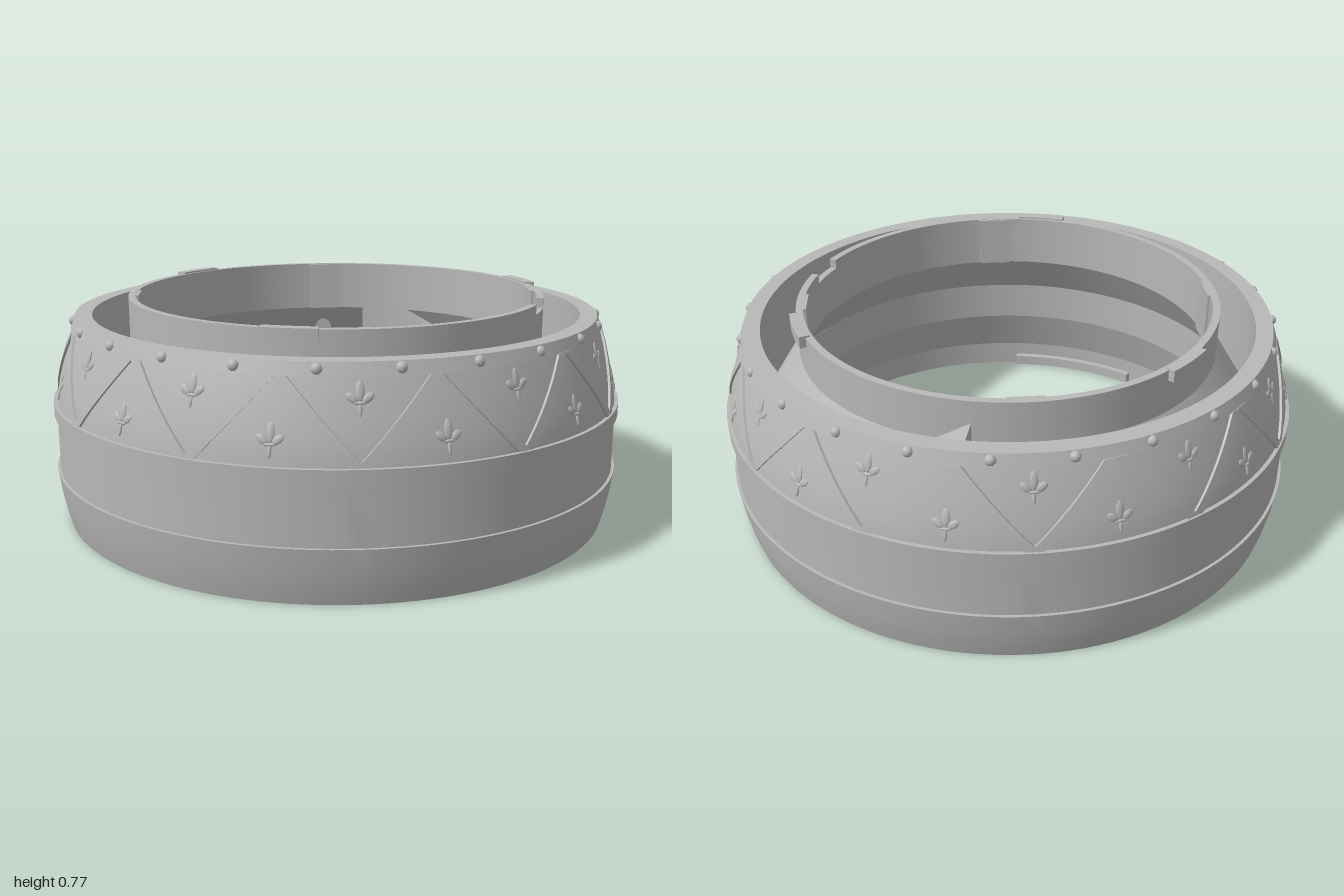
import * as THREE from 'three';
import { toCreasedNormals } from 'three/addons/utils/BufferGeometryUtils.js';

const metal = new THREE.MeshStandardMaterial({ color: 0xb8b8b8, side: THREE.DoubleSide });
metal.name = 'grey metal';
const RAD = Math.PI / 180;

// Point at an angle measured from the front (+z) towards +x
const polar = (deg, r, y) => [r * Math.sin(deg * RAD), y, r * Math.cos(deg * RAD)];

function mesh(name, geometry) {
  const m = new THREE.Mesh(geometry, metal);
  m.name = name;
  return m;
}

function fromGrid(pos, index) {
  const g = new THREE.BufferGeometry();
  g.setAttribute('position', new THREE.Float32BufferAttribute(pos, 3));
  g.setIndex(index);
  return toCreasedNormals(g, 0.4);
}

function lathe(name, pts, from = 0, to = 360) {
  const g = new THREE.LatheGeometry(pts.map(p => new THREE.Vector2(p[0], p[1])),
    Math.max(6, Math.round((to - from) / 2.5)), from * RAD, (to - from) * RAD);
  return mesh(name, toCreasedNormals(g, 0.25));
}

// Joins closed cross-sections of four corners and caps both ends
function sweep(name, sections) {
  const pos = sections.flat(2), index = [], last = (sections.length - 1) * 4;
  for (let i = 0; i < last; i += 4) {
    for (let k = 0; k < 4; k++) {
      const a = i + k, b = i + (k + 1) % 4;
      index.push(a, b, a + 4, b, b + 4, a + 4);
    }
  }
  index.push(0, 2, 1, 0, 3, 2, last, last + 1, last + 2, last, last + 2, last + 3);
  return mesh(name, fromGrid(pos, index));
}

// Curved block between two radii; the top may slope to another height
function arcBlock(name, r0, r1, y0, y1, from, to, yEnd = y1) {
  const n = Math.max(3, Math.ceil(Math.abs(to - from) / 2.5)), sections = [];
  for (let i = 0; i <= n; i++) {
    const a = from + (to - from) * i / n, top = y1 + (yEnd - y1) * i / n;
    sections.push([polar(a, r0, y0), polar(a, r1, y0), polar(a, r1, top), polar(a, r0, top)]);
  }
  return sweep(name, sections);
}

// Radius of the raised surface of the decorated upper band
const bandRadius = y => 0.993 - 0.067 * Math.pow(Math.max(0, (y - 0.425) / 0.25), 1.3);
// Height of the conical floor of the trough
const floorY = r => 0.615 - 1.6 * (r - 0.73);
const FLOOR_IN = 0.72, FLOOR_OUT = 0.857, FLOOR_THICK = 0.035, STEPS = 16;

// Floor sector with a round hole through it
function holedSector(angle, halfSpan, holeR, radius) {
  const group = new THREE.Group();
  group.name = 'floorHole';
  const border = [];
  const lerp = (a, b, t) => a + (b - a) * t;
  const corners = [[-1, FLOOR_IN], [1, FLOOR_IN], [1, FLOOR_OUT], [-1, FLOOR_OUT]];
  corners.forEach((c, k) => {
    const d = corners[(k + 1) % 4];
    for (let i = 0; i < STEPS; i++) {
      border.push([lerp(c[0], d[0], i / STEPS) * halfSpan, lerp(c[1], d[1], i / STEPS)]);
    }
  });
  const n = border.length;
  const rim = border.map(([da, r]) => {
    const dir = Math.atan2(r - holeR, da * RAD * holeR);
    return [radius * Math.cos(dir) / holeR / RAD, holeR + radius * Math.sin(dir)];
  });
  const surface = (name, count, point) => {
    const pos = [], index = [];
    for (let j = 0; j <= count; j++) for (let i = 0; i < n; i++) {
      pos.push(...point(i, j / count));
      if (j < count) {
        const a = j * n + i, b = j * n + (i + 1) % n;
        index.push(a, b, a + n, b, b + n, a + n);
      }
    }
    group.add(mesh(name, fromGrid(pos, index)));
  };
  for (const drop of [0, FLOOR_THICK]) {
    surface(drop ? 'floorUnderside' : 'floorTop', 6, (i, t) => {
      const r = lerp(rim[i][1], border[i][1], t);
      return polar(angle + lerp(rim[i][0], border[i][0], t), r, floorY(r) - drop);
    });
  }
  surface('holeWall', 1, (i, t) =>
    polar(angle + rim[i][0], rim[i][1], floorY(rim[i][1]) - t * FLOOR_THICK));
  return group;
}

export function createModel() {
  const model = new THREE.Group();
  model.name = 'ornamentedRing';

  // Outer shell, with a shallow recess behind the decorated band
  const recess = [];
  for (let i = 0; i <= 8; i++) {
    const y = 0.422 + 0.248 * i / 8;
    recess.push([bandRadius(y) - 0.006, y]);
  }
  model.add(lathe('outerShell', [
    [0.895, 0], [0.965, 0], [0.978, 0.05], [0.99, 0.11], [1, 0.185], [0.99, 0.185],
    [0.99, 0.378], [1, 0.378], [1, 0.422], ...recess, [bandRadius(0.67), 0.67],
    [0.913, 0.71], [0.855, 0.71], [0.855, 0.4], [0.83, 0.415], [0.833, 0.265],
    [0.89, 0.1], [0.895, 0],
  ]));

  // Conical floor between shell and neck, pierced by three holes
  const holes = [[22, 0.8], [94.5, 0.8], [135, 0.805]], half = 6;
  const profile = [[FLOOR_IN, floorY(FLOOR_IN)], [FLOOR_OUT, floorY(FLOOR_OUT)]];
  holes.forEach(([angle, r], k) => {
    const next = holes[(k + 1) % 3][0] + (k === 2 ? 360 : 0);
    model.add(holedSector(angle, half, r, 0.038));
    model.add(lathe('floorTop', profile, angle + half, next - half));
    model.add(lathe('floorUnderside', profile.map(([x, y]) => [x, y - FLOOR_THICK]),
      angle + half, next - half));
  });

  // Neck with one notch in its top edge
  model.add(lathe('neck', [[0.705, 0.58], [0.73, 0.58], [0.73, 0.732], [0.705, 0.732], [0.705, 0.58]]));
  model.add(arcBlock('neckRim', 0.705, 0.73, 0.732, 0.765, 27, 376));

  // Locking lugs around the neck
  for (const a of [60, 180, 300]) {
    model.add(arcBlock('neckLug', 0.715, 0.752, 0.73, 0.771, a - 7, a + 7));
  }
  // Flat pads inside the neck
  for (const a of [45, 135, 225, 315]) {
    const pad = mesh('neckPad', new THREE.BoxGeometry(0.12, 0.184, 0.02));
    pad.position.set(...polar(a, 0.703, 0.672));
    pad.rotation.y = a * RAD;
    model.add(pad);
  }
  // Sloping stop in the trough, and a lug inside the bottom edge
  model.add(arcBlock('troughRamp', 0.728, 0.853, 0.42, 0.69, 122, 97, 0.5));
  model.add(arcBlock('bottomLug', 0.868, 0.9, 0.005, 0.045, 274, 308));

  // Zigzag straps forming 24 triangular panels
  const strap = (a0, a1) => {
    const sections = [];
    for (let i = 0; i <= 8; i++) {
      const y = 0.424 + 0.248 * i / 8, a = a0 + (a1 - a0) * i / 8, r = bandRadius(y) + 0.002, w = 1.25;
      sections.push([polar(a - w, r - 0.014, y), polar(a - w, r, y),
        polar(a + w, r, y), polar(a + w, r - 0.014, y)]);
    }
    return sweep('strap', sections);
  };
  for (let i = 0; i < 12; i++) {
    model.add(strap(i * 30 + 14.5, i * 30 + 1), strap(i * 30 - 14.5, i * 30 - 1));
  }

  // Small trefoil in each panel: offset x, offset y, half width, half height, tilt
  const ball = new THREE.SphereGeometry(1, 10, 8);
  const leaves = [
    [0, 0.022, 0.013, 0.03, 0], [-0.023, 0.003, 0.012, 0.02, 0.9],
    [0.023, 0.003, 0.012, 0.02, -0.9], [0, -0.03, 0.006, 0.022, 0], [0, -0.012, 0.02, 0.005, 0],
  ];
  for (let i = 0; i < 24; i++) {
    const y = i % 2 ? 0.61 : 0.495, trefoil = new THREE.Group();
    trefoil.name = 'trefoil';
    for (const [x, dy, w, h, tilt] of leaves) {
      const leaf = mesh('leaf', ball);
      leaf.position.set(x, dy, 0);
      leaf.scale.set(w, h, 0.005);
      leaf.rotation.z = tilt;
      trefoil.add(leaf);
    }
    trefoil.position.set(...polar(i * 15, bandRadius(y) - 0.006, y));
    trefoil.rotation.set(-0.26, i * 15 * RAD, 0, 'YXZ');
    model.add(trefoil);
  }

  // Studs below the top rim
  for (let i = 0; i < 24; i++) {
    const stud = mesh('stud', ball);
    stud.scale.setScalar(0.018);
    stud.position.set(...polar(i * 15 + 7.5, 0.916, 0.69));
    model.add(stud);
  }
  return model;
}
